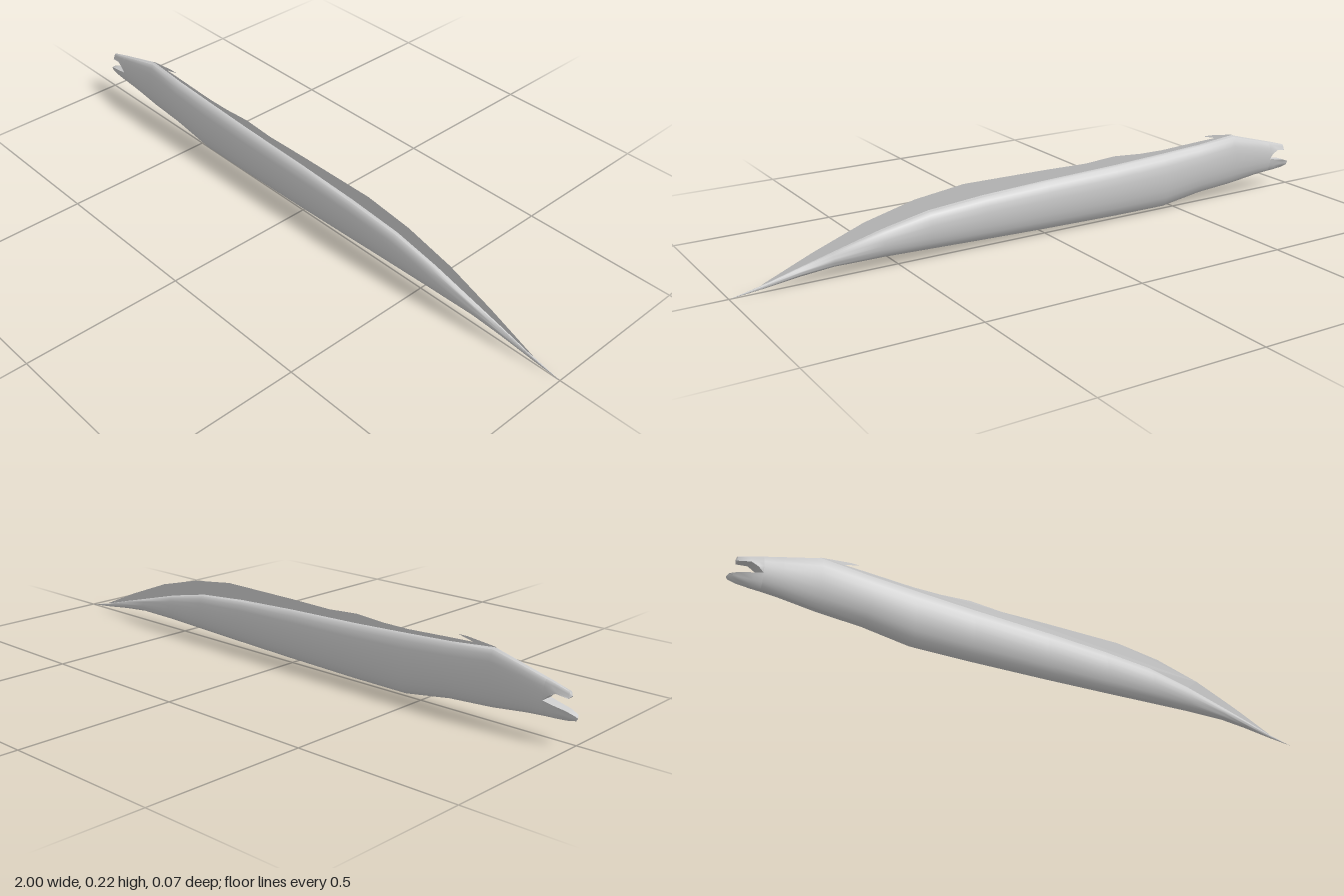
import * as THREE from 'three';
import { toCreasedNormals } from 'three/addons/utils/BufferGeometryUtils.js';

const SIDES = 20;
const material = new THREE.MeshStandardMaterial({ color: 0xcccccc });

// Skins ellipses listed as [x, top, bottom, halfWidth, lowest y, highest y]
function loft(name, rows) {
  const pos = [], index = [];
  for (const [x, top, bottom, w, lo = -9, hi = 9] of rows) {
    for (let j = 0; j < SIDES; j++) {
      const a = (j / SIDES) * Math.PI * 2;
      const y = (top + bottom) / 2 + (Math.sin(a) * (top - bottom)) / 2;
      pos.push(x, THREE.MathUtils.clamp(y, lo, hi), Math.cos(a) * w);
    }
  }
  for (let i = 0; i < rows.length - 1; i++) {
    for (let j = 0; j < SIDES; j++) {
      const a = i * SIDES + j, b = i * SIDES + ((j + 1) % SIDES);
      index.push(a, a + SIDES, b, b, a + SIDES, b + SIDES);
    }
  }
  const geo = new THREE.BufferGeometry();
  geo.setAttribute('position', new THREE.Float32BufferAttribute(pos, 3));
  geo.setIndex(index);
  const mesh = new THREE.Mesh(toCreasedNormals(geo, 0.9), material);
  mesh.name = name;
  return mesh;
}

export function createModel() {
  const group = new THREE.Group();
  group.name = 'ribbonFish';

  // Long flattened body, head to tail tip
  group.add(loft('body', [
    [-0.905, 0.105, 0.105, 0],
    [-0.905, 0.163, 0.057, 0.02],
    [-0.85, 0.178, 0.053, 0.023],
    [-0.74, 0.208, 0.04, 0.029],
    [-0.6, 0.195, 0.031, 0.034],
    [-0.45, 0.187, 0.009, 0.036],
    [-0.26, 0.178, 0.01, 0.036],
    [0, 0.17, 0.015, 0.034],
    [0.22, 0.16, 0.021, 0.031],
    [0.4, 0.145, 0.027, 0.029],
    [0.55, 0.115, 0.032, 0.025],
    [0.7, 0.076, 0.033, 0.016],
    [0.8, 0.05, 0.024, 0.01],
    [0.91, 0.02, 0.01, 0.004],
    [1, 0.001, 0.001, 0],
  ]));

  // Open jaws: the head outline cut off at the mouth line
  group.add(loft('upperJaw', [
    [-0.98, 0.13, 0.13, 0],
    [-0.975, 0.143, 0.06, 0.012, 0.124],
    [-0.94, 0.153, 0.06, 0.016, 0.13],
    [-0.92, 0.159, 0.058, 0.018, 0.12],
    [-0.905, 0.163, 0.057, 0.02, 0.105],
  ]));
  group.add(loft('lowerJaw', [
    [-1, 0.074, 0.074, 0],
    [-0.995, 0.145, 0.066, 0.009, -9, 0.082],
    [-0.97, 0.145, 0.061, 0.014, -9, 0.091],
    [-0.93, 0.155, 0.058, 0.018, -9, 0.099],
    [-0.905, 0.163, 0.057, 0.02, -9, 0.105],
  ]));

  // Thin dorsal fin with a swept-back spine at the front
  const outline = [
    [-0.76, 0.2], [-0.74, 0.21], [-0.65, 0.22], [-0.62, 0.22], [-0.67, 0.208],
    [-0.61, 0.206], [-0.45, 0.199], [-0.36, 0.2], [-0.26, 0.207], [-0.15, 0.2],
    [0, 0.203], [0.28, 0.205], [0.44, 0.185], [0.6, 0.145], [0.76, 0.085], [0.91, 0.022],
    [0.8, 0.04], [0.55, 0.105], [0.4, 0.135], [0.22, 0.15], [0, 0.16], [-0.45, 0.177],
  ];
  const shape = new THREE.Shape(outline.map(([x, y]) => new THREE.Vector2(x, y)));
  const finMaterial = material.clone();
  finMaterial.side = THREE.DoubleSide;
  const fin = new THREE.Mesh(new THREE.ShapeGeometry(shape), finMaterial);
  fin.name = 'dorsalFin';
  group.add(fin);

  return group;
}
